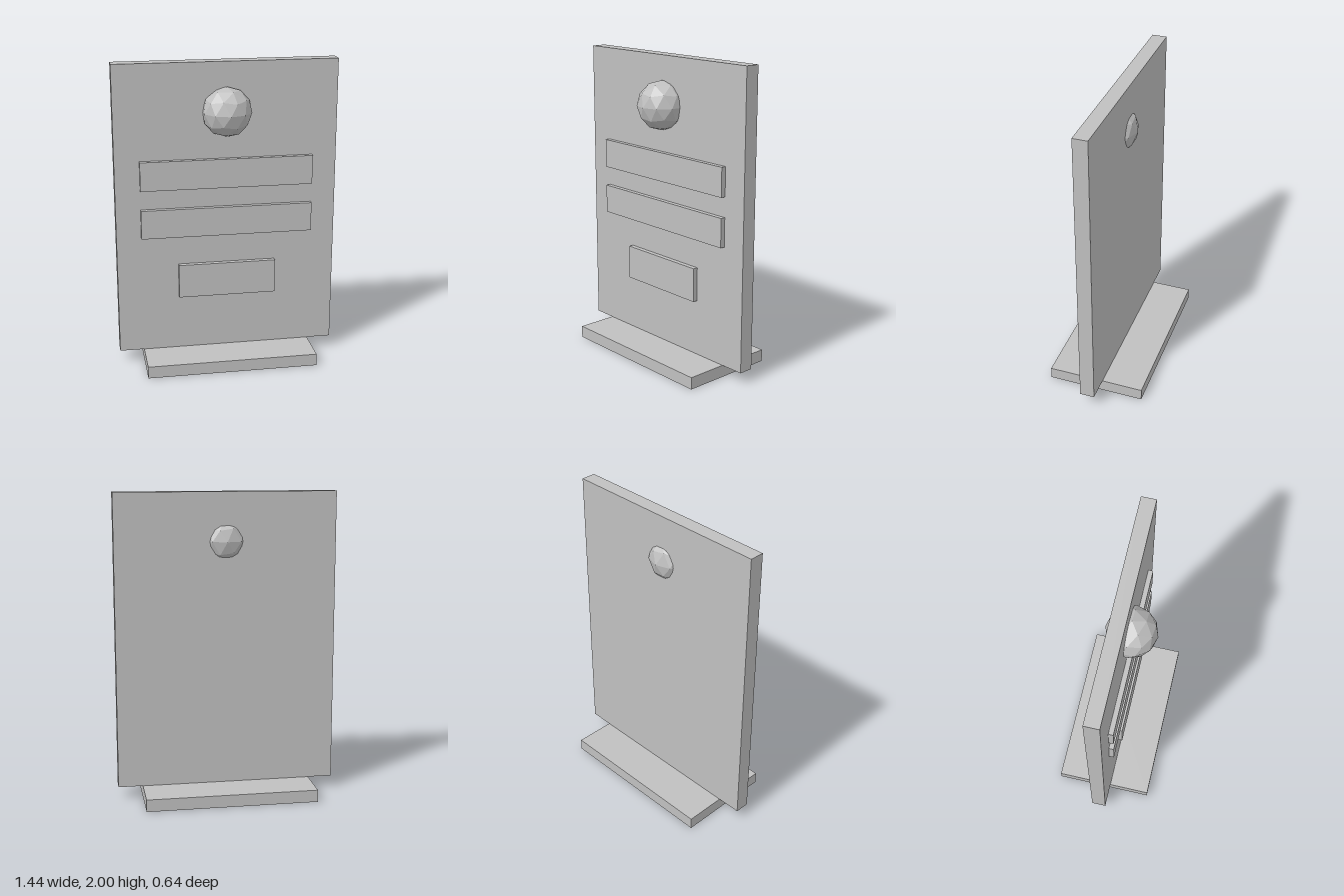
import * as THREE from 'three';

export function createModel() {
  const model = new THREE.Group();
  const grey = new THREE.MeshStandardMaterial({ color: 0xc0c0c0, flatShading: true });
  grey.name = 'plain grey';

  const add = (name, geometry, x, y, z) => {
    const mesh = new THREE.Mesh(geometry, grey);
    mesh.name = name;
    mesh.position.set(x, y, z);
    model.add(mesh);
  };
  // Box given by its width, bottom and top, back and front
  const addBox = (name, width, y0, y1, z0, z1) =>
    add(name, new THREE.BoxGeometry(width, y1 - y0, z1 - z0), 0, (y0 + y1) / 2, (z0 + z1) / 2);

  // Foot and upright board
  addBox('base', 1.12, 0, 0.08, -0.32, 0.32);
  addBox('board', 1.44, 0.08, 2, -0.048, 0.048);

  // Raised plaques on the front: name, width, bottom, top
  for (const [name, width, y0, y1] of [
    ['upperPlaque', 1.12, 1.19, 1.38],
    ['middlePlaque', 1.12, 0.87, 1.06],
    ['lowerPlaque', 0.64, 0.45, 0.675],
  ]) addBox(name, width, y0, y1, 0.04, 0.08);

  // Faceted ball through the board, turned so a corner points straight up
  const ball = new THREE.IcosahedronGeometry(0.16, 1);
  ball.rotateX(-Math.atan((1 + Math.sqrt(5)) / 2));
  ball.rotateY(Math.PI / 2);
  add('ball', ball, 0, 1.683, 0.064);

  return model;
}
